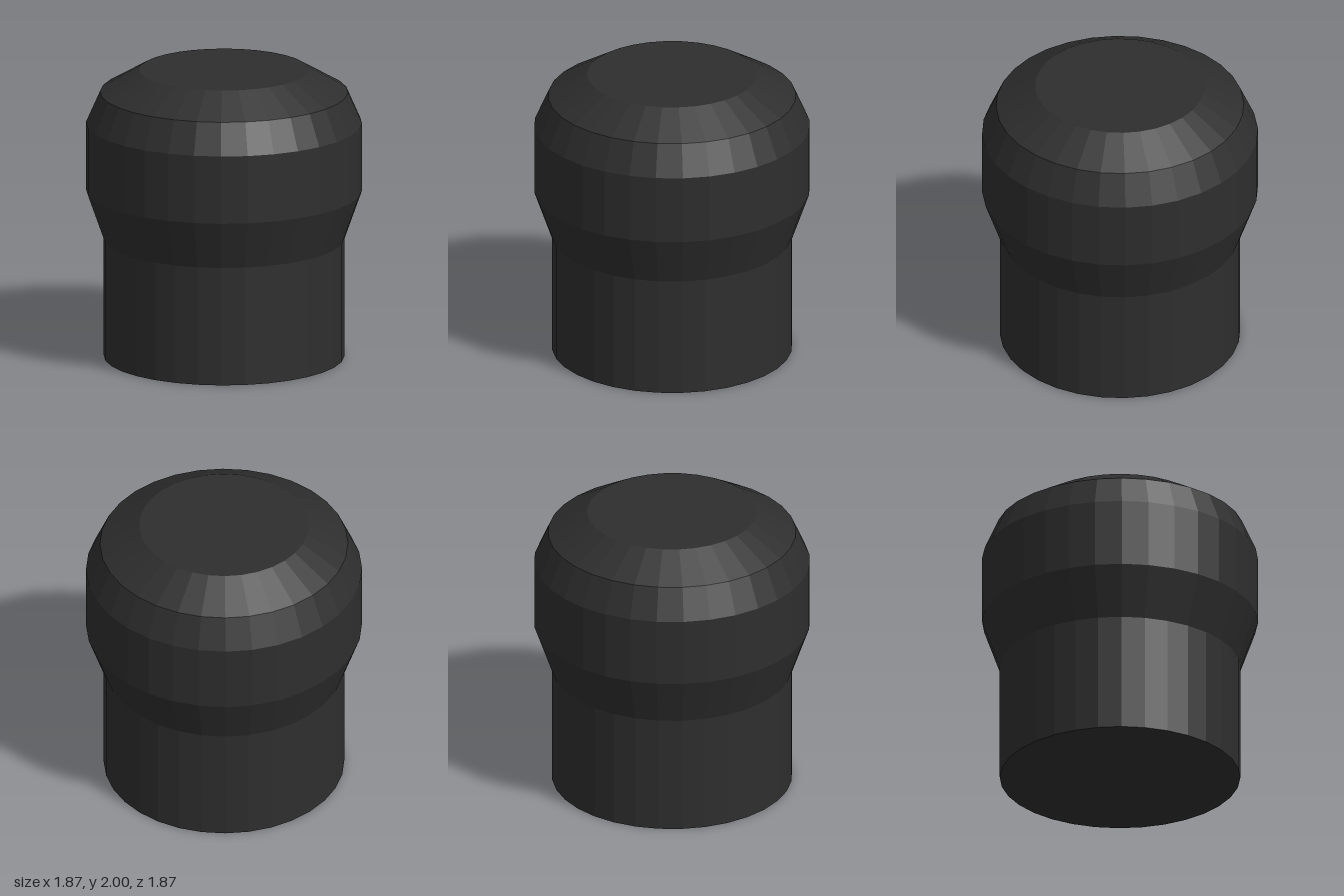
import * as THREE from 'three';

const SIDES = 32;

export function createModel() {
  const model = new THREE.Group();
  model.name = 'knob';
  const black = new THREE.MeshStandardMaterial({ color: 0x2e2e2e, flatShading: true });
  black.name = 'matte black';

  // Turned part from [radius, height] points, bottom to top
  function turned(name, profile) {
    const points = profile.map(([r, y]) => new THREE.Vector2(r, y));
    const mesh = new THREE.Mesh(new THREE.LatheGeometry(points, SIDES), black);
    mesh.name = name;
    model.add(mesh);
  }

  // Closed base, straight stem, flared grip and upper bevel
  turned('body', [[0, 0], [0.815, 0], [0.815, 0.82], [0.935, 1.16], [0.935, 1.63], [0.84, 1.845]]);

  // Sloped cap with a flat top
  turned('cap', [[0.84, 1.845], [0.575, 2], [0, 2]]);

  return model;
}
